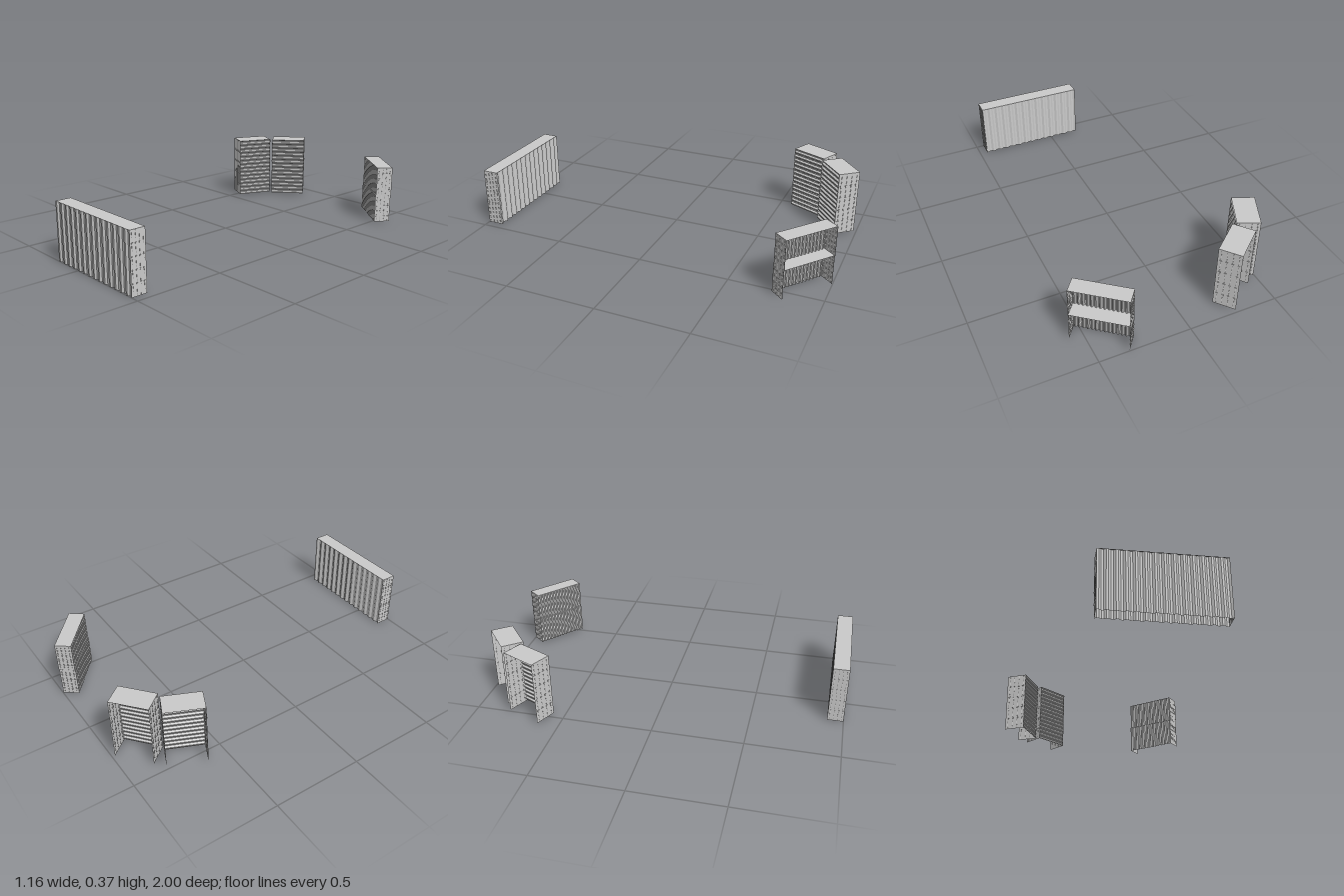
import * as THREE from 'three';

const steel = new THREE.MeshStandardMaterial({ color: 0xcccccc, side: THREE.DoubleSide, flatShading: true });
const RIBS = 14;

function add(parent, name, geometry, x = 0, y = 0, z = 0) {
  const mesh = new THREE.Mesh(geometry, steel);
  mesh.name = name;
  mesh.position.set(x, y, z);
  parent.add(mesh);
  return mesh;
}

// Thin sheet with trapezoid ribs, running upright or lying across; depth goes from 0 inward to -amp
function corrugatedSheet(w, h, amp, across) {
  const n = RIBS * 4;
  const g = across ? new THREE.PlaneGeometry(w, h, 1, n) : new THREE.PlaneGeometry(w, h, n, 1);
  const p = g.attributes.position;
  for (let i = 0; i < p.count; i++) {
    const t = across ? p.getY(i) / h : p.getX(i) / w;
    const step = Math.round((t + 0.5) * n) % 4;
    p.setZ(i, step < 2 ? 0 : -amp);
  }
  return g;
}

// End wall: flat panel with locking bars and four rows of brackets
function doorEnd(d, h) {
  const door = new THREE.Group();
  door.name = 'doorEnd';
  add(door, 'doorPanel', new THREE.PlaneGeometry(d, h));
  for (let i = 0; i < 4; i++) {
    const x = (i - 1.5) * d * 0.245;
    add(door, 'lockingBar', new THREE.CylinderGeometry(0.0014, 0.0014, h * 0.97, 6), x);
    for (let j = 0; j < 4; j++) {
      add(door, 'barBracket', new THREE.BoxGeometry(d * 0.09, h * 0.022, 0.006), x, (j - 1.5) * h * 0.2);
    }
  }
  return door;
}

// Open-bottomed container shell, long side facing local +z
function container(name, { l, h, d, amp = 0.008, across = false, back = false }) {
  const box = new THREE.Group();
  box.name = name;
  add(box, 'frontWall', corrugatedSheet(l, h, amp, across), 0, h / 2, d / 2);
  if (back) {
    add(box, 'backWall', corrugatedSheet(l, h, amp, across), 0, h / 2, -d / 2).rotation.y = Math.PI;
  }
  add(box, 'roof', new THREE.PlaneGeometry(l, d), 0, h, 0).rotation.x = -Math.PI / 2;
  for (const s of [1, -1]) {
    const door = doorEnd(d, h);
    door.position.set(s * l / 2, h / 2, 0);
    door.rotation.y = s * Math.PI / 2;
    box.add(door);
  }
  return box;
}

function place(parent, part, x, y, z, turn) {
  part.position.set(x, y, z);
  part.rotation.y = turn;
  parent.add(part);
}

export function createModel() {
  const model = new THREE.Group();
  model.name = 'containerYard';

  // Long container at the front
  place(model, container('longContainer', { l: 0.635, h: 0.325, d: 0.088, back: true }), 0.137, 0, 0.956, 0);

  // Two low containers stacked, open at the back
  const low = { l: 0.305, h: 0.165, d: 0.09 };
  place(model, container('lowerContainer', low), 0.428, 0.003, -0.868, -0.675);
  place(model, container('upperContainer', low), 0.43, 0.168, -0.87, -0.675);

  // Two tall containers with ribs lying across, open at the back
  const tall = { l: 0.212, h: 0.366, d: 0.125, amp: 0.01, across: true };
  place(model, container('tallContainerInner', tall), -0.312, 0.004, -0.87, 0.69);
  place(model, container('tallContainerOuter', tall), -0.478, 0.004, -0.688, 1.147);

  return model;
}
